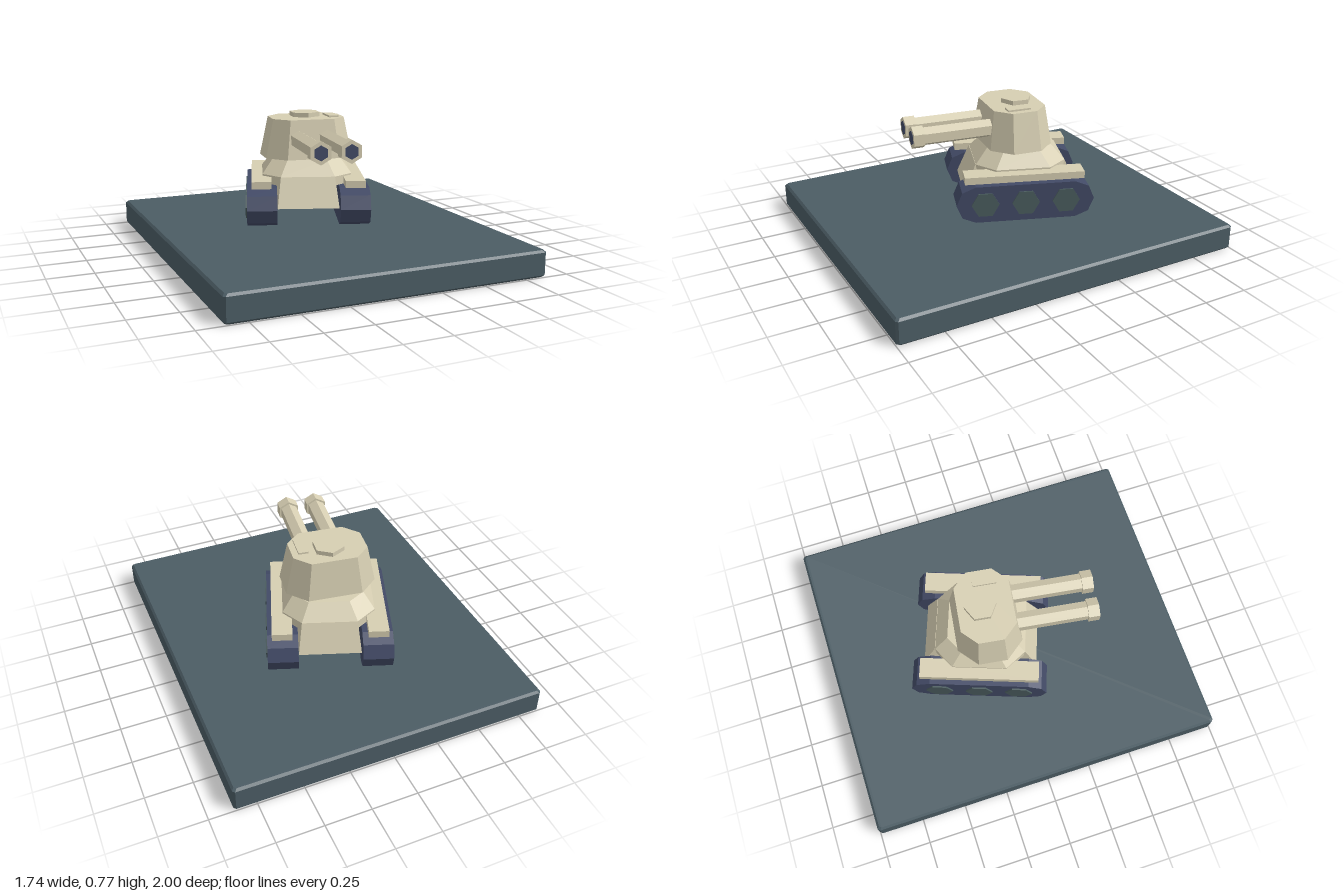
import * as THREE from 'three';

const mat = (name, color) => {
  const m = new THREE.MeshStandardMaterial({ color });
  m.name = name;
  return m;
};

// Faceted copy of a geometry
const facet = (g) => {
  const f = g.index ? g.toNonIndexed() : g;
  f.computeVertexNormals();
  return f;
};

// Rectangle with cut corners, as [x, z] points
const cutRect = (w, d, c) => [
  [w, -d + c], [w, d - c], [w - c, d], [-w + c, d],
  [-w, d - c], [-w, -d + c], [-w + c, -d], [w - c, -d],
];
const rect = (w, d) => [[w, -d], [w, d], [-w, d], [-w, -d]];

// Solid through stacked outlines: [[y, points], ...] from bottom to top
function loft(rings) {
  const pos = [];
  const tri = (...pts) => pts.forEach((p) => pos.push(...p));
  const R = rings.map(([y, pts]) => pts.map(([x, z]) => [x, y, z]));
  const n = R[0].length;
  for (let k = 0; k < R.length - 1; k++) {
    for (let i = 0; i < n; i++) {
      const j = (i + 1) % n, lo = R[k], hi = R[k + 1];
      tri(lo[i], hi[i], lo[j]);
      tri(lo[j], hi[i], hi[j]);
    }
  }
  const bottom = R[0], top = R[R.length - 1];
  for (let i = 1; i < n - 1; i++) {
    tri(top[0], top[i + 1], top[i]);
    tri(bottom[0], bottom[i], bottom[i + 1]);
  }
  const g = new THREE.BufferGeometry();
  g.setAttribute('position', new THREE.Float32BufferAttribute(pos, 3));
  g.computeVertexNormals();
  return g;
}

export function createModel() {
  const slate = mat('slate', 0x4b5c64);
  const wheelGrey = mat('wheel grey', 0x4a5c5e);
  const cream = mat('cream', 0xd6ceb2);
  const navy = mat('navy', 0x424a66);

  const model = new THREE.Group();
  const add = (parent, name, geo, material, x = 0, y = 0, z = 0) => {
    const m = new THREE.Mesh(geo, material);
    m.name = name;
    m.position.set(x, y, z);
    parent.add(m);
    return m;
  };
  const group = (name, x, z, degrees) => {
    const g = new THREE.Group();
    g.name = name;
    g.position.set(x, 0, z);
    g.rotation.y = THREE.MathUtils.degToRad(degrees);
    model.add(g);
    return g;
  };

  // Display base with a small bevel
  const e = 0.012;
  add(model, 'base', loft([
    [0, cutRect(0.87 - e, 1 - e, e)], [e, cutRect(0.87, 1, e)],
    [0.145 - e, cutRect(0.87, 1, e)], [0.145, cutRect(0.87 - e, 1 - e, e)],
  ]), slate);

  // Hull: sloped lower body and cut-corner deck
  const hull = group('hull', 0, -0.12, -20);
  add(hull, 'lowerHull', loft([
    [0.276, rect(0.17, 0.32)], [0.44, rect(0.15, 0.252)],
  ]), cream);
  add(hull, 'deck', loft([
    [0.39, cutRect(0.25, 0.25, 0.1)], [0.44, cutRect(0.25, 0.25, 0.1)],
    [0.522, cutRect(0.19, 0.18, 0.08)],
  ]), cream);

  // Track outline with half-octagon ends
  const r = 0.105, straight = 0.275;
  const outline = new THREE.Shape();
  for (let i = 0; i < 10; i++) {
    const end = i < 5 ? 1 : -1;
    const a = (i < 5 ? i - 2 : i - 3) * Math.PI / 4;
    outline.lineTo(end * straight + r * Math.cos(a), r * Math.sin(a));
  }
  outline.curves.shift();
  outline.closePath();
  const trackGeo = new THREE.ExtrudeGeometry(outline, { depth: 0.165, bevelEnabled: false });
  trackGeo.translate(0, 0, -0.0825).rotateY(Math.PI / 2);
  const wheelGeo = facet(new THREE.CylinderGeometry(0.076, 0.076, 0.03, 6).rotateZ(Math.PI / 2));

  for (const s of [1, -1]) {
    const side = s > 0 ? 'left' : 'right';
    add(hull, side + 'Track', facet(trackGeo), navy, s * 0.255, 0.28, 0);
    add(hull, side + 'Fender', new THREE.BoxGeometry(0.11, 0.04, 0.66), cream, s * 0.257, 0.411, 0);
    for (const z of [-0.223, 0, 0.223]) {
      add(hull, side + 'Wheel', wheelGeo, wheelGrey, s * 0.331, 0.28, z);
    }
  }

  // Turret, turned a little less than the hull
  const turret = group('turret', -0.01, -0.095, -8);
  add(turret, 'turretRing', loft([
    [0.51, cutRect(0.15, 0.13, 0.06)], [0.535, cutRect(0.15, 0.13, 0.06)],
  ]), cream);
  add(turret, 'turretBody', loft([
    [0.53, cutRect(0.25, 0.18, 0.1)], [0.748, cutRect(0.205, 0.15, 0.08)],
  ]), cream);

  // Hatch and vision block on the roof
  add(turret, 'hatch', facet(new THREE.CylinderGeometry(0.088, 0.088, 0.03, 6)), cream, 0, 0.758, -0.025);
  add(turret, 'roofBlock', new THREE.BoxGeometry(0.055, 0.02, 0.13), cream, 0.143, 0.748, 0.018);

  // Twin six-sided guns with muzzle collars and dark bores
  const hexRod = (radius, length) =>
    facet(new THREE.CylinderGeometry(radius, radius, length, 6).rotateX(Math.PI / 2));
  for (const s of [1, -1]) {
    const side = s > 0 ? 'left' : 'right';
    add(turret, side + 'Barrel', hexRod(0.051, 0.5), cream, s * 0.082, 0.64, 0.31);
    add(turret, side + 'Muzzle', hexRod(0.063, 0.062), cream, s * 0.082, 0.64, 0.574);
    add(turret, side + 'Bore', hexRod(0.041, 0.006), navy, s * 0.082, 0.64, 0.604);
  }
  return model;
}
